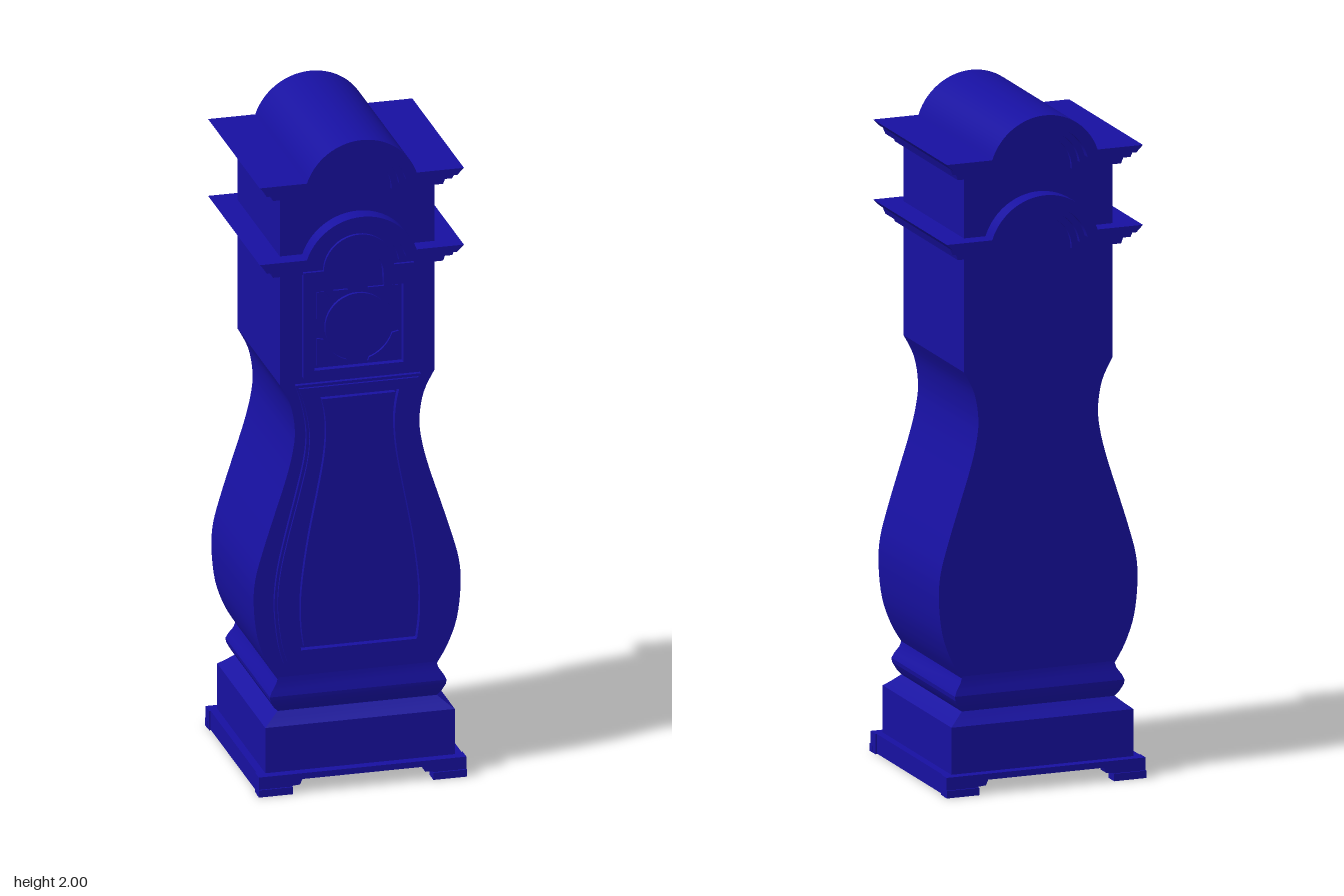
import * as THREE from 'three';
import { toCreasedNormals } from 'three/addons/utils/BufferGeometryUtils.js';

const material = new THREE.MeshStandardMaterial({ color: 0x1710a0 });
const V = (x, y) => new THREE.Vector2(x, y);

// Half-outlines [x, y] of the waisted trunk and its door
const TRUNK = [[0.235, 0.33], [0.27, 0.39], [0.298, 0.47], [0.309, 0.57], [0.304, 0.65], [0.28, 0.74],
  [0.245, 0.85], [0.213, 0.95], [0.193, 1.03], [0.186, 1.1], [0.199, 1.18], [0.231, 1.245]];
const DOOR_OUTER = [[0.222, 0.385], [0.239, 0.45], [0.25, 0.56], [0.243, 0.66], [0.22, 0.77],
  [0.182, 0.92], [0.16, 1.02], [0.155, 1.1], [0.168, 1.18], [0.187, 1.243]];
const DOOR_INNER = [[0.173, 0.425], [0.181, 0.49], [0.182, 0.58], [0.172, 0.68], [0.155, 0.79],
  [0.13, 0.92], [0.113, 1.02], [0.107, 1.1], [0.111, 1.16], [0.12, 1.205]];

const smooth = (pts, n = 28) => new THREE.SplineCurve(pts.map(p => V(...p))).getPoints(n);

// Right side going up, then its mirror image going down
const mirrored = right => [...right, ...right.slice().reverse().filter(p => p.x > 1e-6).map(p => V(-p.x, p.y))];

// Shrinks a mirrored half-outline inwards by d
function inset(right, d) {
  const y0 = right[0].y, y1 = right[right.length - 1].y;
  return right.map(p => V(p.x - d, y0 + d + (p.y - y0) * (y1 - y0 - 2 * d) / (y1 - y0)));
}

// Points of an arch from angle a to b
function arc(cx, cy, r, a, b, n = 20) {
  return Array.from({ length: n + 1 }, (_, i) => {
    const t = a + (b - a) * i / n;
    return V(cx + r * Math.cos(t), cy + r * Math.sin(t));
  });
}

// Slab of an outline between two z values, with optional holes
function slab(name, outline, z0, z1, holes = []) {
  const shape = new THREE.Shape(outline);
  shape.holes = holes.map(h => new THREE.Path(h));
  const g = new THREE.ExtrudeGeometry(shape, { depth: z1 - z0, bevelEnabled: false, curveSegments: 32 });
  g.translate(0, 0, z0);
  const mesh = new THREE.Mesh(toCreasedNormals(g, 0.5), material);
  mesh.name = name;
  return mesh;
}

function box(name, x0, x1, y0, y1, z0, z1) {
  const g = new THREE.BoxGeometry(x1 - x0, y1 - y0, z1 - z0);
  const mesh = new THREE.Mesh(g, material);
  mesh.position.set((x0 + x1) / 2, (y0 + y1) / 2, (z0 + z1) / 2);
  mesh.name = name;
  return mesh;
}

// Rectangular rings [halfX, halfZ, y] joined in order, capped at both ends
function rectLoft(name, rings) {
  const pos = [], idx = [];
  for (const [x, z, y] of rings) pos.push(-x, y, z, x, y, z, x, y, -z, -x, y, -z);
  for (let i = 0; i < rings.length - 1; i++) {
    for (let k = 0; k < 4; k++) {
      const a = i * 4 + k, b = i * 4 + (k + 1) % 4;
      idx.push(a, b, b + 4, a, b + 4, a + 4);
    }
  }
  const t = (rings.length - 1) * 4;
  idx.push(0, 2, 1, 0, 3, 2, t, t + 1, t + 2, t, t + 2, t + 3);
  let g = new THREE.BufferGeometry();
  g.setAttribute('position', new THREE.Float32BufferAttribute(pos, 3));
  g.setIndex(idx);
  g = toCreasedNormals(g, 0.3);
  const mesh = new THREE.Mesh(g, material);
  mesh.name = name;
  return mesh;
}

// Stepped moulding that runs flat, over an arch, and flat again
function cornice(name, cy) {
  const group = new THREE.Group();
  group.name = name;
  // [radius, flat height, half width] of each edge from the top down, and the depth of each step
  const edges = [[0.173, 0.055, 0.305], [0.138, 0.035, 0.285], [0.12, 0.016, 0.262], [0.1, -0.005, 0.242]];
  const depths = [0.281, 0.256, 0.24];
  const side = ([r, h]) => {
    const a = Math.asin(h / r);
    return arc(0, cy + h - h, r, a, Math.PI - a, 28);
  };
  depths.forEach((z, i) => {
    const top = edges[i], low = edges[i + 1];
    const w = top[2], wl = i === 0 ? low[2] : w - 0.008;
    const outline = [V(wl, cy + low[1]), V(w, cy + top[1]), ...side(top), V(-w, cy + top[1]),
      V(-wl, cy + low[1]), ...side(low).reverse()];
    group.add(slab('corniceStep', outline, -z, z));
  });
  return group;
}

function base() {
  const group = new THREE.Group();
  group.name = 'base';
  // Hollow plinth: inside from the top down, then outside up
  group.add(rectLoft('plinth', [[0.2, 0.19, 0.22], [0.25, 0.23, 0.19], [0.25, 0.23, 0.045], [0.283, 0.262, 0.045],
    [0.283, 0.262, 0.2], [0.262, 0.246, 0.216], [0.238, 0.23, 0.236]]));
  group.add(rectLoft('waistMoulding', [[0.234, 0.228, 0.232], [0.25, 0.235, 0.25], [0.262, 0.241, 0.272],
    [0.264, 0.242, 0.285], [0.257, 0.238, 0.3], [0.243, 0.232, 0.32], [0.236, 0.23, 0.34]]));
  // Skirting with bracket feet cut into the front and back boards
  const foot = [V(0, 0.042), V(0.18, 0.042), V(0.187, 0.026), V(0.21, 0.024), V(0.21, 0),
    V(0.31, 0), V(0.31, 0.06), V(0, 0.06)];
  for (const s of [-1, 1]) {
    const z = [s * 0.25, s * 0.29].sort((a, b) => a - b);
    const x = [s * 0.25, s * 0.306].sort((a, b) => a - b);
    group.add(slab('skirtBoard', mirrored(foot), z[0], z[1]));
    group.add(box('sideSkirt', x[0], x[1], 0.002, 0.06, -0.25, 0.25));
    for (const t of [-1, 1]) {
      const fx = [s * 0.21, s * 0.311].sort((a, b) => a - b);
      const fz = [t * 0.27, t * 0.295].sort((a, b) => a - b);
      group.add(box('foot', fx[0], fx[1], 0, 0.022, fz[0], fz[1]));
    }
  }
  return group;
}

function trunkDoor() {
  const group = new THREE.Group();
  group.name = 'trunkDoor';
  const outer = smooth(DOOR_OUTER), inner = smooth(DOOR_INNER);
  // Rim, recessed field, inner bead and raised panel
  group.add(slab('doorRim', mirrored(outer), 0.225, 0.243, [mirrored(inset(outer, 0.008))]));
  group.add(slab('doorFrame', mirrored(inset(outer, 0.008)), 0.225, 0.251, [mirrored(inner)]));
  group.add(slab('doorPanel', mirrored(inset(inner, 0.01)), 0.225, 0.247));
  return group;
}

function dialDoor() {
  const group = new THREE.Group();
  group.name = 'dialDoor';
  // Opening is a square with a small arch above it
  const opening = mirrored([V(0.133, 1.287), V(0.133, 1.53), V(0.1, 1.53), V(0.088, 1.51), V(0.076, 1.53),
    ...arc(0, 1.57, 0.074, 0, Math.PI / 2, 10)]);
  const frame = mirrored([V(0.165, 1.265), V(0.165, 1.592), V(0.105, 1.592),
    ...arc(0, 1.59, 0.105, 0.05, Math.PI / 2, 12)]);
  group.add(slab('dialFrame', frame, 0.225, 0.25, [opening]));
  group.add(slab('dial', arc(0, 1.412, 0.098, 0, Math.PI * 2, 40).slice(0, -1), 0.225, 0.24));
  // Corner ornaments with a side hollowed round the dial
  for (const sx of [-1, 1]) {
    for (const sy of [-1, 1]) {
      const pts = [V(0.122, 0.03), V(0.122, 0.114), V(0.03, 0.114), ...arc(0, 0, 0.108, 1.25, 0.32, 10)];
      group.add(slab('spandrel', pts.map(p => V(sx * p.x, 1.41 + sy * p.y)), 0.225, 0.238));
    }
  }
  return group;
}

export function createModel() {
  const model = new THREE.Group();
  model.name = 'longcaseClock';
  model.add(base());

  // Case: curved trunk, straight hood and arched top in one outline
  const right = [...smooth(TRUNK, 44), V(0.231, 1.86), V(0.128, 1.86), ...arc(0, 1.827, 0.128, 0.28, Math.PI / 2, 12)];
  model.add(slab('case', mirrored(right), -0.23, 0.23));
  model.add(trunkDoor(), dialDoor());
  model.add(cornice('lowerCornice', 1.589), cornice('upperCornice', 1.827));
  return model;
}
